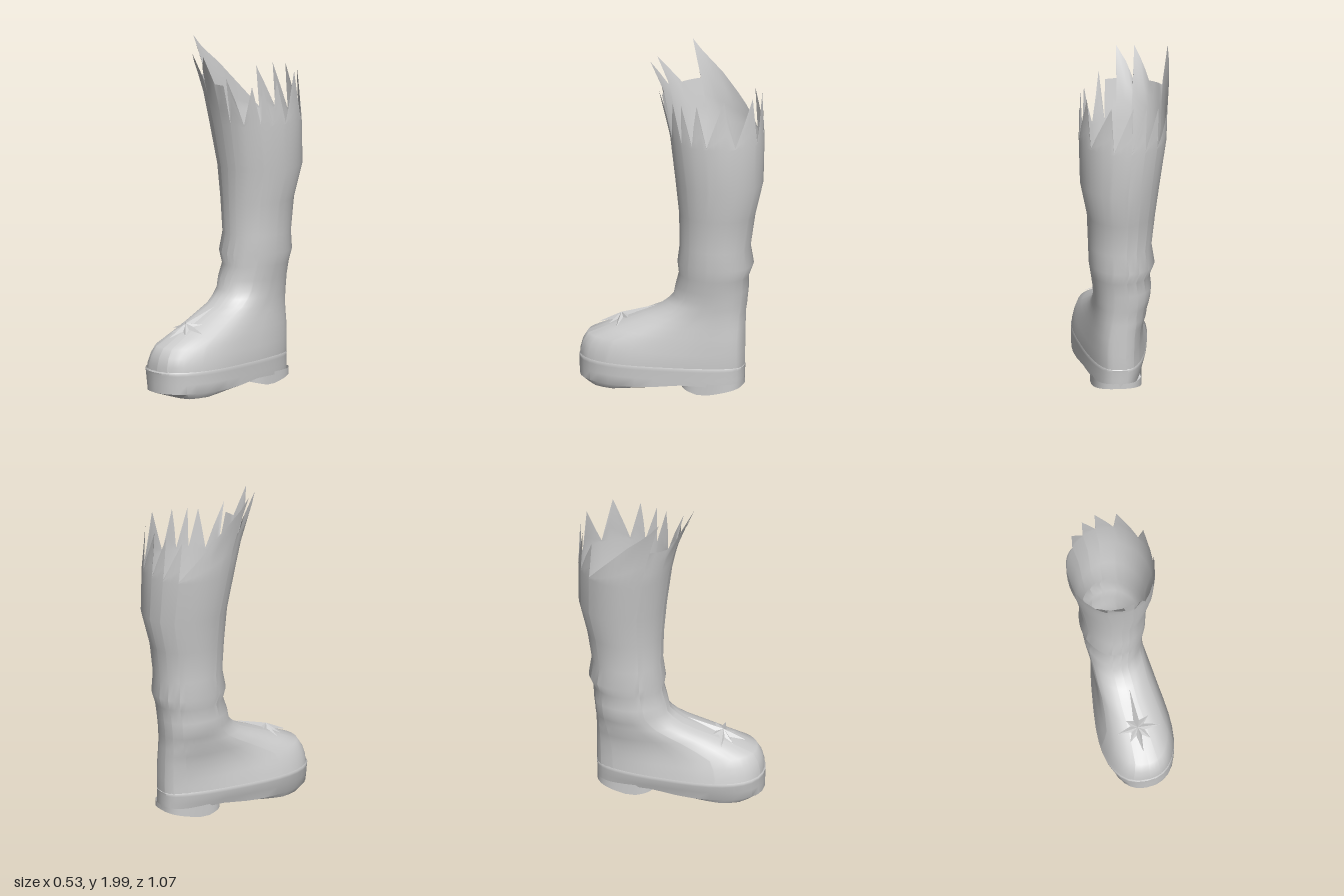
import * as THREE from 'three';
import { toCreasedNormals } from 'three/addons/utils/BufferGeometryUtils.js';

// Piecewise linear lookup in rows [key, v1, v2, ...]
function lookup(rows, t) {
  let i = 0;
  while (i < rows.length - 2 && t > rows[i + 1][0]) i++;
  const a = rows[i], b = rows[i + 1];
  const k = Math.min(1, Math.max(0, (t - a[0]) / (b[0] - a[0])));
  return a.map((v, n) => v + (b[n] - v) * k);
}

// Point on a rounded outline; angle 0 is the front, 90 is +x. Widths blend from heel to toe,
// and the front and back halves have their own squareness (1 is an ellipse).
function ringPoint([y, zb, zf, lb, rb, lf, rf], deg, front, back) {
  const a = deg * Math.PI / 180, s = Math.sin(a), c = Math.cos(a);
  const power = c < 0 ? back : front;
  const sp = Math.sign(s) * Math.abs(s) ** power, cp = Math.sign(c) * Math.abs(c) ** power;
  const k = (1 + cp) / 2;
  const l = lb + (lf - lb) * k, r = rb + (rf - rb) * k;
  return [(l + r) / 2 + sp * (r - l) / 2, y, (zb + zf) / 2 + cp * (zf - zb) / 2];
}

// Closed skin through rows of points, lowest row first
function loft(rows, angles, point) {
  const pos = [], idx = [], n = angles.length;
  for (let i = 0; i < rows; i++) angles.forEach((a, j) => pos.push(...point(i, a, j)));
  for (let i = 0; i < rows - 1; i++) {
    for (let j = 0; j < n; j++) {
      const a = i * n + j, b = i * n + (j + 1) % n;
      idx.push(a, b, b + n, a, b + n, a + n);
    }
  }
  const g = new THREE.BufferGeometry();
  g.setAttribute('position', new THREE.Float32BufferAttribute(pos, 3));
  g.setIndex(idx);
  g.computeVertexNormals();
  return g;
}

const round = Array.from({ length: 36 }, (_, i) => i * 10);

// Boot sections: y, back z, front z, heel left/right x, toe left/right x
const foot = [
  [0.15, -0.428, 0.53, -0.1, 0.175, -0.21, 0.305],
  [0.2, -0.43, 0.528, -0.1, 0.178, -0.195, 0.3],
  [0.25, -0.43, 0.515, -0.1, 0.178, -0.175, 0.285],
  [0.3, -0.43, 0.485, -0.105, 0.178, -0.15, 0.265],
  [0.35, -0.43, 0.375, -0.11, 0.178, -0.135, 0.235],
  [0.4, -0.43, 0.26, -0.12, 0.175, -0.13, 0.21],
  [0.44, -0.43, 0.165, -0.13, 0.175, -0.135, 0.19],
  [0.48, -0.43, 0.075, -0.13, 0.17, -0.14, 0.185],
  [0.52, -0.435, 0.025, -0.14, 0.17, -0.145, 0.18],
];
const shaft = [
  [0.56, -0.438, -0.01], [0.62, -0.445, -0.022], [0.7, -0.45, -0.045],
  [0.77, -0.475, -0.035], [0.88, -0.46, -0.052], [1.07, -0.487, -0.046],
  [1.27, -0.535, -0.03], [1.53, -0.535, 0.003], [1.77, -0.52, 0.052],
  [1.94, -0.53, 0.135], [2.0, -0.54, 0.15],
];
const sides = [[-0.15, 0.175], [-0.155, 0.18], [-0.145, 0.192], [-0.172, 0.203], [-0.155, 0.207],
  [-0.175, 0.215], [-0.2, 0.255], [-0.24, 0.26], [-0.25, 0.25], [-0.28, 0.27], [-0.29, 0.28]];
shaft.forEach((s, i) => s.push(...sides[i], ...sides[i]));
const wall = [...foot, ...shaft.slice(0, 8)];

// Squareness of the front and back halves by height
const squareness = [[0.3, 0.87, 0.65], [0.6, 1, 0.92], [1.1, 1, 1], [1.77, 0.85, 1]];

// Torn rim: angle and height of every corner
const rim = [
  [-180, 1.74], [-174, 1.81], [-173, 1.54], [-155, 1.8], [-154, 1.54], [-134, 1.78], [-133, 1.54],
  [-97, 1.76], [-66, 2.0], [-65, 1.78], [-38, 1.77], [-15, 1.94], [-14.5, 1.77], [2, 1.94],
  [2.5, 1.77], [16, 1.77], [16.5, 1.54], [24, 1.82], [36, 1.54], [56, 1.77], [59, 1.54],
  [70, 1.78], [75, 1.54], [88, 1.79], [92, 1.54], [119, 1.82], [128, 1.54], [158, 1.81],
  [163, 1.54], [180, 1.74],
];

// Underside height along z
const under = [[-0.43, 0.055], [-0.08, 0.07], [0.1, 0.045], [0.3, 0.015], [0.42, 0.012], [0.54, 0.045]];
const heelUnder = [[-0.43, 0.05], [-0.22, 0.005], [-0.08, 0.04]];

export function createModel() {
  const group = new THREE.Group();
  const leather = new THREE.MeshStandardMaterial({ color: 0xcccccc, side: THREE.DoubleSide });
  leather.name = 'pale grey leather';
  const add = (name, geometry) => {
    const mesh = new THREE.Mesh(geometry, leather);
    mesh.name = name;
    group.add(mesh);
  };

  // Foot, leg and jagged cuff in one smooth skin, refined between the rim corners
  const teeth = [];
  rim.slice(0, -1).forEach(([a, y], i) => {
    const [b, y2] = rim[i + 1], n = Math.ceil((b - a) / 10);
    for (let k = 0; k < n; k++) teeth.push([a + (b - a) * k / n, y + (y2 - y) * k / n]);
  });
  add('bootUpper', loft(wall.length + 3, teeth.map(t => t[0]), (i, a, j) => {
    const above = i - wall.length + 1;
    const ring = above > 0 ? lookup(shaft, 1.53 + (teeth[j][1] - 1.53) * above / 3) : wall[i];
    const [, front, back] = lookup(squareness, ring[0]);
    return ringPoint(ring, a, front, back);
  }));

  // Sole: arched underside and side wall tucked in on the inner side; rows are scale, height, inner scale
  const soleRing = [0, -0.43, 0.534, -0.102, 0.178, -0.215, 0.31];
  const rows = [[0.01], [0.35], [0.7], [0.92, undefined, 0.8], [0.995, 0.045, 0.86], [1, 0.1, 0.92],
    [1, 0.15, 1], [1.003, 0.163, 1.003], [0.99, 0.172, 0.99]];
  add('sole', toCreasedNormals(loft(rows.length, round, (i, a) => {
    const [x, , z] = ringPoint(soleRing, a, 0.87, 0.65), [s, y, inner = s] = rows[i];
    const px = 0.042 + (x - 0.042) * (x < 0.042 ? inner : s), pz = 0.05 + (z - 0.05) * s;
    const low = lookup(under, pz)[1];
    return [px, y === undefined ? low : i === 4 ? Math.max(low, y) : y, pz];
  }), 0.7));

  // Heel block with a sloping tread
  const heelRing = [0, -0.428, -0.08, -0.085, 0.175, -0.115, 0.2];
  const heelRows = [0.02, 0.5, 1, 1];
  add('heel', toCreasedNormals(loft(4, round, (i, a) => {
    const [x, , z] = ringPoint(heelRing, a, 0.6, 0.7), s = heelRows[i];
    const pz = -0.23 + (z + 0.23) * s;
    return [0.042 + (x - 0.042) * s, i === 3 ? 0.08 : lookup(heelUnder, pz)[1], pz];
  }), 0.7));

  // Faceted eight-pointed star on the instep: tips and the notches between them
  const tips = [[0.053, 0.347, 0.425], [0.11, 0.358, 0.355], [0.182, 0.37, 0.287], [0.12, 0.41, 0.235],
    [0.045, 0.482, 0.08], [-0.01, 0.41, 0.243], [-0.073, 0.37, 0.297], [-0.01, 0.358, 0.357]];
  const outline = [];
  tips.forEach((tip, i) => {
    const a = (i + 0.5) * Math.PI / 4, z = 0.29 + 0.042 * Math.cos(a);
    outline.push(tip, [0.047 + 0.042 * Math.sin(a), 0.391 - (z - 0.29) * 0.43, z]);
  });
  const tri = [];
  outline.forEach((p, i) => tri.push(...p, ...outline[(i + 1) % 16], 0.047, 0.415, 0.295));
  const star = new THREE.BufferGeometry();
  star.setAttribute('position', new THREE.Float32BufferAttribute(tri, 3));
  star.computeVertexNormals();
  add('instepStar', star);

  return group;
}
